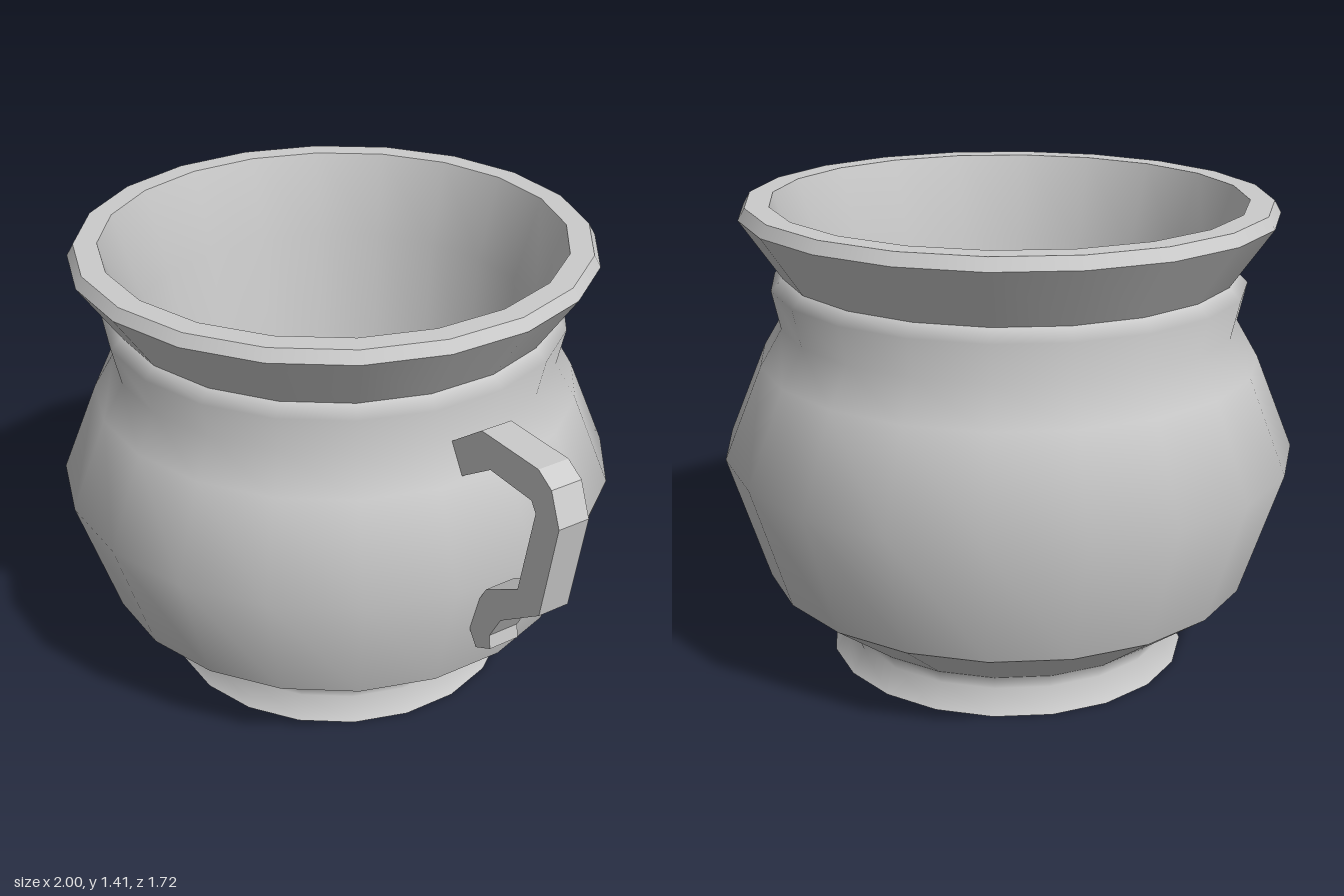
import * as THREE from 'three';

const SIDES = 20;
const HANDLE_ANGLE = 0.145;

// Each profile is one smooth band [radius, y]; bands meet in sharp edges.
const BANDS = {
  base: [[0, 0], [0.55, 0]],
  foot: [[0.55, 0], [0.51, 0.07], [0.53, 0.115]],
  underside: [[0.53, 0.115], [0.74, 0.275]],
  belly: [[0.74, 0.275], [0.86, 0.66], [0.745, 0.94], [0.68, 1.05], [0.705, 1.165], [0.67, 1.2]],
  collar: [[0.67, 1.2], [0.79, 1.375]],
  rimBevel: [[0.79, 1.375], [0.77, 1.41]],
  rimTop: [[0.77, 1.41], [0.7, 1.41]],
  interior: [[0.7, 1.41], [0.62, 1.15], [0.59, 0.8], [0.52, 0.5], [0.36, 0.27], [0.18, 0.18], [0, 0.15]],
};

// Side outline of the handle, x measured from the pot's axis
const HANDLE = [
  [0.67, 1.04], [0.8, 1.135], [1.04, 1.135], [1.096, 1.1], [1.135, 1.0],
  [1.08, 0.695], [0.92, 0.58], [0.875, 0.5], [0.88, 0.455], [0.815, 0.42],
  [0.785, 0.465], [0.79, 0.54], [0.85, 0.645], [0.985, 0.725], [1.04, 1.0],
  [1.02, 1.03], [0.845, 1.035], [0.71, 0.945],
];

export function createModel() {
  const model = new THREE.Group();
  model.name = 'pot';
  const material = new THREE.MeshStandardMaterial({ color: 0xcccccc, side: THREE.DoubleSide });
  const flat = new THREE.MeshStandardMaterial({ color: 0xcccccc, flatShading: true });

  // Turned body
  const body = new THREE.Group();
  body.name = 'body';
  for (const [name, profile] of Object.entries(BANDS)) {
    const points = profile.map(([r, y]) => new THREE.Vector2(r, y));
    const band = new THREE.Mesh(new THREE.LatheGeometry(points, SIDES), material);
    band.name = name;
    body.add(band);
  }

  // Angular handle standing out radially
  const shape = new THREE.Shape(HANDLE.map(([x, y]) => new THREE.Vector2(x * 1.008, y)));
  const geometry = new THREE.ExtrudeGeometry(shape, { depth: 0.1, bevelEnabled: false });
  geometry.translate(0, 0, -0.05);
  const handle = new THREE.Mesh(geometry, flat);
  handle.name = 'handle';
  handle.rotation.y = -HANDLE_ANGLE;

  model.add(body, handle);
  body.position.x = handle.position.x = -0.14;
  return model;
}
